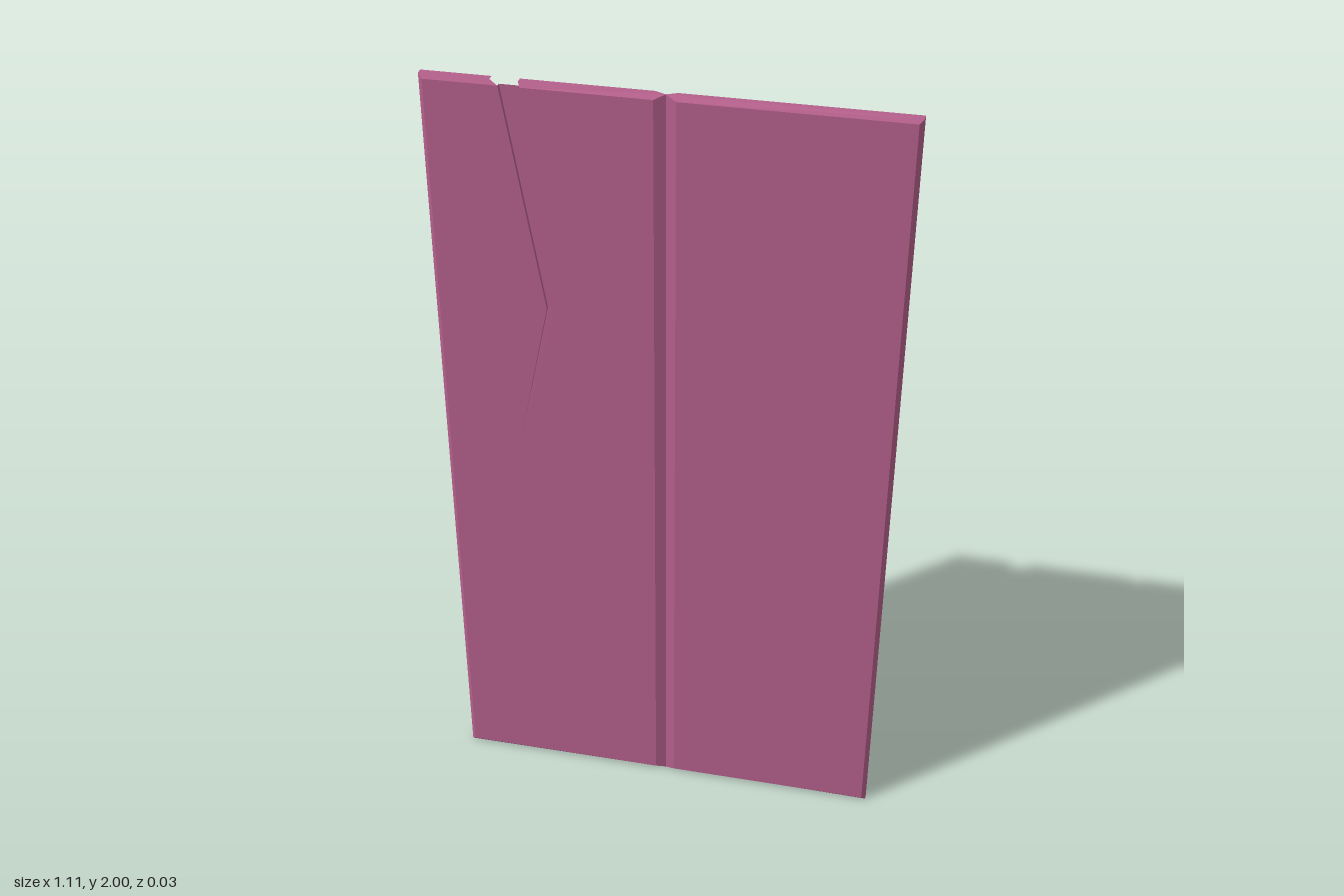
import * as THREE from 'three';

const pink = new THREE.MeshStandardMaterial({ color: 0xb5608c, side: THREE.DoubleSide });
pink.name = 'pinkPaint';

const H = 2, OUT = 0.555, LIP = 0.025, BEVEL = 0.01;
const FRONT = 0.0125, MID = 0.004, BACK = -0.0125;

// Mesh from four-cornered faces; side -1 mirrors it across x = 0
function quads(name, faces, side) {
  const pos = [];
  for (const face of faces) {
    let f = face.map(([x, y, z]) => [x * side, y, z]);
    if (side < 0) f = f.reverse();
    for (const i of [0, 1, 2, 0, 2, 3]) pos.push(...f[i]);
  }
  const geo = new THREE.BufferGeometry();
  geo.setAttribute('position', new THREE.Float32BufferAttribute(pos, 3));
  geo.computeVertexNormals();
  const mesh = new THREE.Mesh(geo, pink);
  mesh.name = name;
  return mesh;
}

// Crack edges from the top down to the tip, with the depth of its floor
const crackInner = [[0.322, H - BEVEL], [0.262, 1.44], [0.37, 1.02]];
const crackOuter = [[0.372, H - BEVEL], [0.282, 1.44], [0.37, 1.02]];
const crackFloor = [0.002, 0.003, FRONT];

// One open-backed door leaf: face sheet, bevels and shallow rim
function leaf(name, side, cracked) {
  const group = new THREE.Group();
  group.name = name;
  const x1 = OUT - BEVEL, y0 = BEVEL, y1 = H - BEVEL;

  // Front sheet, with the crack cut out of the top edge
  const outline = [[LIP, y0], [x1, y0], [x1, y1]];
  if (cracked) outline.push(...crackOuter, ...crackInner.slice(0, 2).reverse());
  outline.push([LIP, y1]);
  const shape = new THREE.Shape(outline.map(([x, y]) => new THREE.Vector2(x * side, y)));
  const sheet = new THREE.Mesh(new THREE.ShapeGeometry(shape), pink);
  sheet.position.z = FRONT;
  sheet.name = 'frontSheet';
  group.add(sheet);

  // Outer edge and the chamfer at the meeting edge
  group.add(quads('outerRim', [
    [[x1, y0, FRONT], [OUT, 0, MID], [OUT, H, MID], [x1, y1, FRONT]],
    [[OUT, 0, MID], [OUT, 0, BACK], [OUT, H, BACK], [OUT, H, MID]],
  ], side));
  group.add(quads('meetingChamfer', [
    [[0, 0, 0], [LIP, y0, FRONT], [LIP, y1, FRONT], [0, H, 0]],
  ], side));

  // Top and bottom rims; each span gives x at the front, middle and back
  const left = { f: LIP, m: 0, b: LIP, z: 0 };
  const right = { f: x1, m: OUT, b: OUT, z: MID };
  const rim = (a, b, yf, y) => {
    const faces = [
      [[a.f, yf, FRONT], [b.f, yf, FRONT], [b.m, y, b.z], [a.m, y, a.z]],
      [[a.m, y, a.z], [b.m, y, b.z], [b.b, y, BACK], [a.b, y, BACK]],
    ];
    return y > 0 ? faces : faces.map((f) => f.reverse());
  };
  const gapA = { f: 0.322, m: 0.328, b: 0.328, z: MID };
  const gapB = { f: 0.372, m: 0.392, b: 0.392, z: MID };
  const top = cracked
    ? [...rim(left, gapA, y1, H), ...rim(gapB, right, y1, H)]
    : rim(left, right, y1, H);
  group.add(quads('topRim', top, side));
  group.add(quads('bottomRim', rim(left, right, y0, 0), side));

  // Recessed crack: floor and two side walls
  if (cracked) {
    const floor = [], walls = [];
    for (let i = 0; i < 2; i++) {
      const at = (edge, k, z) => [...edge[k], z];
      const zt = crackFloor[i], zb = crackFloor[i + 1];
      floor.push([at(crackInner, i + 1, zb), at(crackOuter, i + 1, zb),
        at(crackOuter, i, zt), at(crackInner, i, zt)]);
      const wall = (e) => [at(e, i + 1, FRONT), at(e, i + 1, zb), at(e, i, zt), at(e, i, FRONT)];
      walls.push(wall(crackInner), wall(crackOuter).reverse());
    }
    group.add(quads('crackFloor', floor, side), quads('crackWalls', walls, side));
  }
  return group;
}

export function createModel() {
  const model = new THREE.Group();
  model.name = 'doubleDoor';
  model.add(leaf('leftLeaf', 1, false), leaf('rightLeaf', -1, true));
  return model;
}
